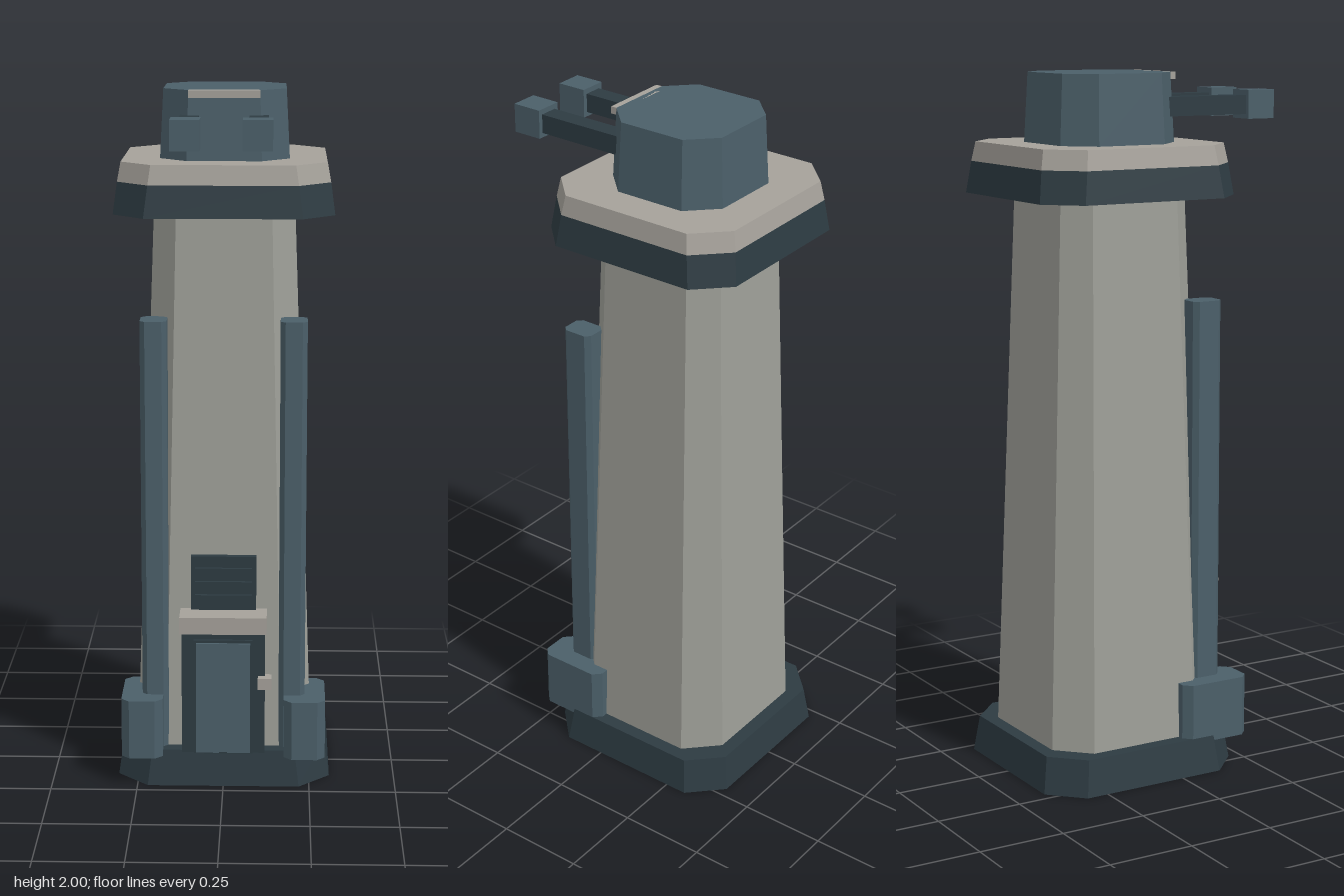
import * as THREE from 'three';

const mat = (name, color) => {
  const m = new THREE.MeshStandardMaterial({ color });
  m.name = name;
  return m;
};

// Closed solid through chamfered rectangles; each level is [y, halfX, halfZ, chamfer]
function chamferedLoft(levels) {
  const rings = levels.map(([y, hx, hz, c]) => [
    [hx, hz - c], [hx, c - hz], [hx - c, -hz], [c - hx, -hz],
    [-hx, c - hz], [-hx, hz - c], [c - hx, hz], [hx - c, hz],
  ].map(([x, z]) => [x, y, z]));
  const pos = [];
  const tri = (a, b, c) => pos.push(...a, ...b, ...c);
  for (let k = 0; k < rings.length - 1; k++) {
    for (let i = 0; i < 8; i++) {
      const j = (i + 1) % 8;
      const [a, b, c, d] = [rings[k][i], rings[k][j], rings[k + 1][j], rings[k + 1][i]];
      tri(a, b, c);
      tri(a, c, d);
    }
  }
  const low = rings[0], high = rings[rings.length - 1];
  for (let i = 1; i < 7; i++) {
    tri(low[0], low[i + 1], low[i]);
    tri(high[0], high[i], high[i + 1]);
  }
  const g = new THREE.BufferGeometry();
  g.setAttribute('position', new THREE.Float32BufferAttribute(pos, 3));
  g.computeVertexNormals();
  return g;
}

export function createModel() {
  const wall = mat('wall grey', 0x9e9f98);
  const trim = mat('trim grey', 0xa5a19a);
  const slate = mat('slate blue', 0x4b5f69);
  const dark = mat('dark slate', 0x2d3b42);

  const model = new THREE.Group();
  model.name = 'watchtower';
  const tower = new THREE.Group();
  tower.name = 'tower';
  tower.position.z = -0.095;
  model.add(tower);

  const add = (parent, name, geometry, material, x = 0, z = 0) => {
    const mesh = new THREE.Mesh(geometry, material);
    mesh.name = name;
    mesh.position.x = x;
    mesh.position.z = z;
    parent.add(mesh);
    return mesh;
  };
  // Box from its minimum and maximum corners
  const box = (parent, name, material, [x0, y0, z0], [x1, y1, z1]) => {
    const mesh = add(parent, name, new THREE.BoxGeometry(x1 - x0, y1 - y0, z1 - z0), material);
    mesh.position.set((x0 + x1) / 2, (y0 + y1) / 2, (z0 + z1) / 2);
    return mesh;
  };
  // Square tower section from a lower to an upper [y, half width, chamfer]
  const section = (name, material, ...levels) =>
    add(tower, name, chamferedLoft(levels.map(([y, h, c]) => [y, h, h, c])), material);

  // Stacked tower body
  section('base', dark, [0, 0.31, 0.09], [0.105, 0.295, 0.088]);
  section('shaft', wall, [0.105, 0.255, 0.088], [1.66, 0.2, 0.065]);
  section('collar', dark, [1.66, 0.31, 0.09], [1.75, 0.298, 0.09]);
  section('collarRim', trim, [1.75, 0.298, 0.09], [1.805, 0.288, 0.088]);
  section('turret', slate, [1.805, 0.183, 0.078], [2, 0.173, 0.073]);

  // Visor on the turret's front
  box(model, 'turretVisor', trim, [-0.1, 1.98, 0.06], [0.1, 2, 0.096]);

  for (const [side, s] of [['left', 1], ['right', -1]]) {
    // Gun
    const gun = new THREE.Group();
    gun.name = side + 'Gun';
    gun.position.x = s * 0.097;
    model.add(gun);
    box(gun, 'barrel', dark, [-0.027, 1.877, 0.03], [0.027, 1.931, 0.32]);
    box(gun, 'muzzle', slate, [-0.04, 1.864, 0.318], [0.04, 1.946, 0.405]);

    // Buttress and its foot
    add(model, side + 'Buttress', chamferedLoft([
      [0.1, 0.038, 0.046, 0.014], [1.365, 0.038, 0.046, 0.014],
    ]), slate, s * 0.198, 0.126);
    add(model, side + 'ButtressFoot', chamferedLoft([
      [0.09, 0.06, 0.107, 0.023], [0.265, 0.06, 0.107, 0.023],
    ]), slate, s * 0.235, 0.127);
  }

  // Doorway
  const door = new THREE.Group();
  door.name = 'doorway';
  model.add(door);
  box(door, 'frame', dark, [-0.12, 0.1, 0.1], [0.12, 0.47, 0.205]);
  box(door, 'innerFrame', dark, [-0.085, 0.1, 0.2], [0.085, 0.445, 0.213]);
  for (const s of [-1, 1]) {
    const leaf = box(door, 'leaf', slate, [-0.033, 0.105, 0.205], [0.033, 0.437, 0.221]);
    leaf.position.x = s * 0.045;
  }
  box(door, 'centreStrip', slate, [-0.012, 0.105, 0.2], [0.012, 0.437, 0.216]);
  box(door, 'lintel', trim, [-0.125, 0.47, 0.12], [0.125, 0.52, 0.236]);
  box(door, 'handle', trim, [0.1, 0.302, 0.19], [0.14, 0.336, 0.23]);

  // Louvred vent above the door
  const vent = new THREE.Group();
  vent.name = 'vent';
  model.add(vent);
  box(vent, 'ventPanel', dark, [-0.094, 0.52, 0.1], [0.094, 0.68, 0.16]);
  for (const y of [0.555, 0.595, 0.635]) {
    box(vent, 'slat', dark, [-0.082, y, 0.155], [0.082, y + 0.012, 0.17]);
  }
  return model;
}
